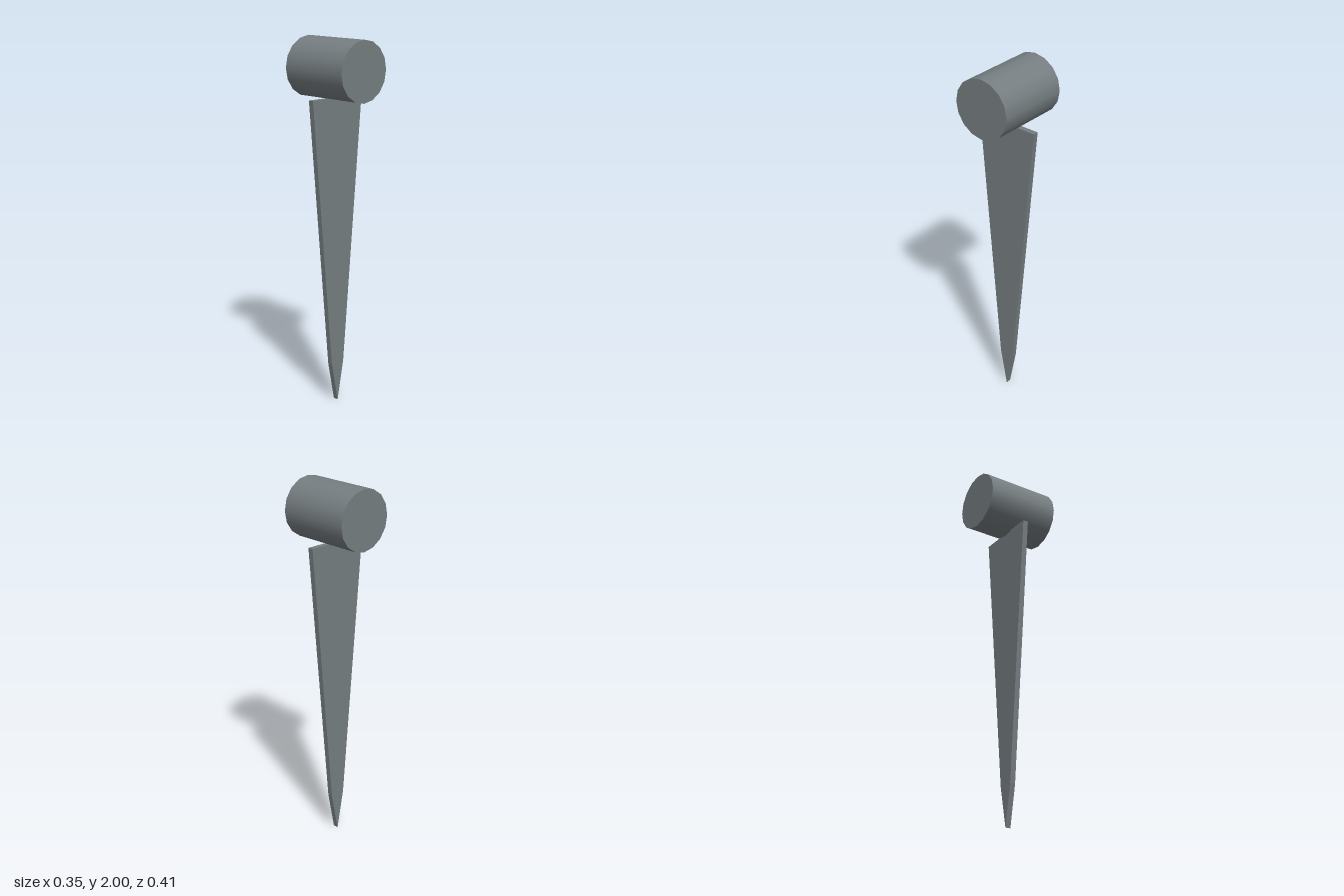
import * as THREE from 'three';

export function createModel() {
  const model = new THREE.Group();
  const material = new THREE.MeshStandardMaterial({ color: 0x767e81 });

  // Lamp head: smooth closed barrel lying along z
  const radius = 0.161, length = 0.412;
  const headGeometry = new THREE.CylinderGeometry(radius, radius, length, 16);
  headGeometry.rotateX(Math.PI / 2);
  const head = new THREE.Mesh(headGeometry, material);
  head.name = 'head';
  head.position.y = 2 - radius;
  model.add(head);

  // Ground spike: thin tapered plate with a sharper point at the bottom
  const outline = new THREE.Shape([
    new THREE.Vector2(0, 0),
    new THREE.Vector2(0.043, 0.22),
    new THREE.Vector2(0.176, 1.69),
    new THREE.Vector2(-0.176, 1.69),
    new THREE.Vector2(-0.043, 0.22),
  ]);
  const thickness = 0.03;
  const spikeGeometry = new THREE.ExtrudeGeometry(outline, { depth: thickness, bevelEnabled: false });
  spikeGeometry.translate(0, 0, -thickness / 2);
  const spike = new THREE.Mesh(spikeGeometry, material);
  spike.name = 'spike';
  model.add(spike);

  return model;
}
